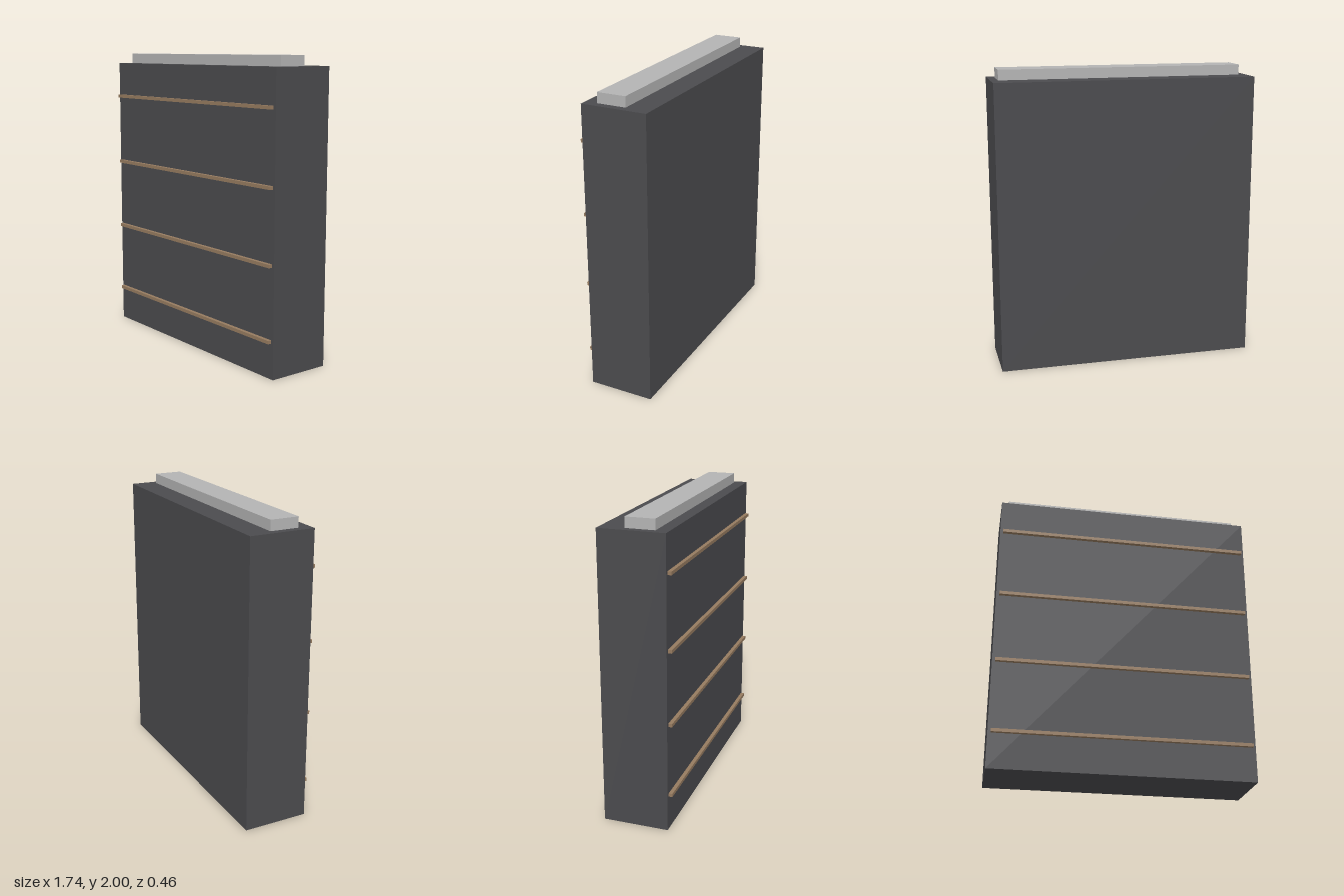
import * as THREE from 'three';

const material = (name, color) => {
  const m = new THREE.MeshStandardMaterial({ color });
  m.name = name;
  return m;
};

export function createModel() {
  const group = new THREE.Group();
  group.name = 'slabWithRails';
  const charcoal = material('charcoal', 0x4b4b4e);
  const paleGrey = material('pale grey', 0xb4b4b4);
  const tan = material('tan', 0x967b60);

  // Box given by its minimum and maximum corners
  const box = (name, mat, min, max) => {
    const size = max.map((v, i) => v - min[i]);
    const mesh = new THREE.Mesh(new THREE.BoxGeometry(...size), mat);
    mesh.position.set(...max.map((v, i) => (v + min[i]) / 2));
    mesh.name = name;
    group.add(mesh);
  };

  // Main slab and the strip on its top
  const height = 1.932;
  box('body', charcoal, [-0.87, 0, -0.23], [0.87, height, 0.205]);
  box('topStrip', paleGrey, [-0.82, height, -0.068], [0.82, 2, 0.123]);

  // Four evenly spaced rails across the front
  for (let i = 0; i < 4; i++) {
    const y = (height * (i + 0.5)) / 4 + 0.002;
    box(`rail${i + 1}`, tan, [-0.85, y - 0.011, 0.2], [0.85, y + 0.011, 0.23]);
  }
  return group;
}
